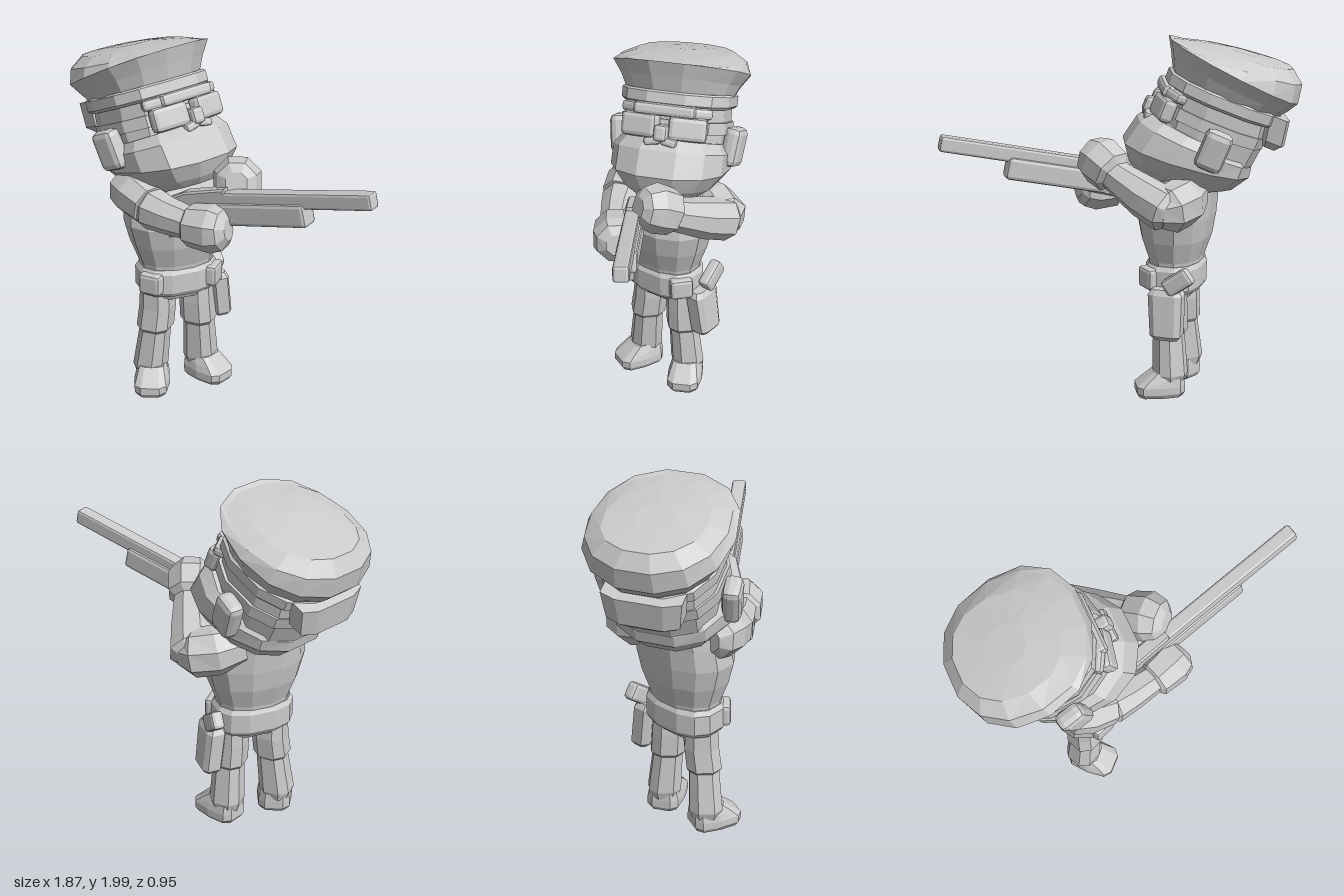
import * as THREE from 'three';
import { RoundedBoxGeometry } from 'three/addons/geometries/RoundedBoxGeometry.js';

const mat = new THREE.MeshStandardMaterial({ color: 0xcccccc, flatShading: true });
const V = (a) => new THREE.Vector3(...a);

function add(parent, name, geo, pos = [0, 0, 0], rot = [0, 0, 0]) {
  const m = new THREE.Mesh(geo, mat);
  m.name = name;
  m.position.set(...pos);
  m.rotation.set(...rot);
  parent.add(m);
  return m;
}

// Skins a list of rings (equal point counts) and closes both ends.
function skin(rings) {
  const n = rings[0].length, pos = [], idx = [];
  rings.forEach((r) => r.forEach((p) => pos.push(p.x, p.y, p.z)));
  for (let i = 0; i < rings.length - 1; i++) {
    for (let j = 0; j < n; j++) {
      const a = i * n + j, b = i * n + (j + 1) % n;
      idx.push(a, b, b + n, a, b + n, a + n);
    }
  }
  const end = (r, start, flip) => {
    const c = r.reduce((s, p) => s.add(p), new THREE.Vector3()).divideScalar(n);
    const k = pos.length / 3;
    pos.push(c.x, c.y, c.z);
    for (let j = 0; j < n; j++) {
      const a = start + j, b = start + (j + 1) % n;
      flip ? idx.push(k, b, a) : idx.push(k, a, b);
    }
  };
  end(rings[0], 0, true);
  end(rings[rings.length - 1], (rings.length - 1) * n, false);
  const g = new THREE.BufferGeometry();
  g.setAttribute('position', new THREE.Float32BufferAttribute(pos, 3));
  g.setIndex(idx);
  g.computeVertexNormals();
  return g;
}

// Upright form: rows of [y, cx, cz, rx, rz, slant]; lower e is squarer.
function column(rows, n = 12, e = 0.8) {
  const pw = (v) => Math.sign(v) * Math.abs(v) ** e;
  return skin(rows.map(([y, cx, cz, rx, rz, slant = 0]) => Array.from({ length: n }, (_, j) => {
    const t = (j + 0.5) / n * Math.PI * 2;
    const z = rz * pw(Math.cos(t));
    return new THREE.Vector3(cx + rx * pw(Math.sin(t)), y + slant * z, cz + z);
  })));
}

// Limb along a path: stations of [x, y, z, radius].
function limb(st, n = 8) {
  const c = st.map((s) => V(s.slice(0, 3)));
  return skin(c.map((p, i) => {
    const t = c[Math.min(i + 1, c.length - 1)].clone().sub(c[Math.max(i - 1, 0)]).normalize();
    const u = new THREE.Vector3(0, 1, 0).cross(t).normalize();
    const v = t.clone().cross(u);
    return Array.from({ length: n }, (_, j) => {
      const a = (j + 0.5) / n * Math.PI * 2;
      return p.clone().addScaledVector(u, Math.cos(a) * st[i][3]).addScaledVector(v, Math.sin(a) * st[i][3]);
    });
  }));
}

const block = (w, h, d, r = 0.02) => new RoundedBoxGeometry(w, h, d, 1, r);

function buildHead() {
  const g = new THREE.Group();
  g.name = 'head';
  g.position.set(-0.43, 1.45, -0.03);
  g.rotation.set(-0.385, 1.16, 0, 'YXZ');
  add(g, 'skull', column([[-0.12, 0, -0.02, 0.27, 0.27], [0.1, 0, -0.02, 0.285, 0.29], [0.25, 0, 0, 0.285, 0.29]]));
  add(g, 'beard', column([
    [-0.29, 0, 0.1, 0.17, 0.2], [-0.23, 0, 0.05, 0.25, 0.3, -0.08], [-0.14, 0, 0.05, 0.32, 0.36, -0.1],
    [-0.04, 0, 0.04, 0.32, 0.34, 0.02], [0.01, 0, 0.03, 0.28, 0.3, 0.06],
  ], 12, 0.85));
  add(g, 'backHair', column([[0.09, 0, -0.33, 0.15, 0.05], [0.13, 0, -0.33, 0.2, 0.08], [0.27, 0, -0.3, 0.22, 0.08]], 8, 0.6));
  // Cap with a band and a broad crown puffed up towards the back
  add(g, 'capBand', column([[0.2, 0, -0.01, 0.295, 0.31], [0.215, 0, -0.01, 0.31, 0.325], [0.27, 0, -0.01, 0.31, 0.325], [0.28, 0, -0.01, 0.3, 0.31]]));
  add(g, 'capCrown', column([
    [0.26, 0, -0.01, 0.295, 0.305, 0.04], [0.33, 0, -0.01, 0.33, 0.35, 0.08], [0.4, 0, -0.005, 0.38, 0.39, 0.09],
    [0.45, 0, -0.01, 0.35, 0.365, -0.06], [0.495, 0, -0.03, 0.26, 0.27, -0.13], [0.51, 0, -0.03, 0.1, 0.1, -0.1],
  ], 14, 0.9));
  // Face
  add(g, 'goggleStrap', column([[0.065, 0, -0.01, 0.3, 0.3], [0.13, 0, -0.01, 0.3, 0.3]]));
  add(g, 'brow', block(0.34, 0.065, 0.1), [0, 0.18, 0.28]);
  for (const s of [-1, 1]) {
    add(g, 'goggleLens', block(0.21, 0.13, 0.08, 0.025), [s * 0.13, 0.09, 0.285], [0, s * 0.22, 0]);
    add(g, 'browEnd', block(0.12, 0.06, 0.08), [s * 0.185, 0.178, 0.25], [0, s * 0.55, 0]);
    add(g, 'ear', block(0.1, 0.22, 0.15, 0.035), [s * 0.325, 0, -0.02], [0, s * -0.15, s * -0.12]);
    add(g, 'moustache', block(0.09, 0.045, 0.06, 0.015), [s * 0.045, 0.015, 0.33], [0, 0, s * -0.2]);
  }
  add(g, 'nose', block(0.075, 0.09, 0.1), [0, 0.06, 0.325]);
  return g;
}

function buildBody() {
  const g = new THREE.Group();
  g.name = 'body';
  g.position.set(-0.31, 0, 0.045);
  g.rotation.y = Math.PI / 4;
  add(g, 'torso', column([
    [0.7, 0, 0, 0.2, 0.14], [0.78, 0, 0, 0.21, 0.15], [0.9, 0, 0, 0.255, 0.19], [1.02, 0, 0, 0.285, 0.21],
    [1.14, 0, -0.02, 0.275, 0.2], [1.26, 0, -0.06, 0.24, 0.18], [1.34, 0, -0.09, 0.14, 0.13],
  ], 12, 0.9));
  add(g, 'hips', column([[0.56, 0, 0, 0.18, 0.1], [0.62, 0, 0, 0.205, 0.13], [0.68, 0, 0, 0.205, 0.13]]));
  add(g, 'belt', column([[0.6, 0, 0, 0.21, 0.145], [0.625, 0, 0, 0.227, 0.16], [0.735, 0, 0, 0.227, 0.16], [0.76, 0, 0, 0.21, 0.145]]));
  for (const s of [-1, 1]) {
    add(g, 'pouch', block(0.13, 0.12, 0.08), [s * 0.18, 0.685, 0.1], [0, s * 0.85, 0]);
  }
  // Sidearm on the left hip
  add(g, 'holster', column([[0.37, 0.265, -0.025, 0.04, 0.07], [0.395, 0.265, -0.025, 0.058, 0.09],
    [0.62, 0.24, -0.015, 0.058, 0.1], [0.65, 0.235, -0.015, 0.045, 0.08]], 8, 0.5));
  add(g, 'sidearmGrip', block(0.07, 0.17, 0.1), [0.26, 0.7, -0.085], [-0.95, 0, 0]);
  return g;
}

// Long gun, muzzle along local +z
function buildGun() {
  const g = new THREE.Group();
  g.name = 'longGun';
  g.position.set(0, 1.258, 0.258);
  g.lookAt(0.92, 1.46, 0.424);
  add(g, 'barrel', block(0.08, 0.085, 1.06, 0.014), [0, 0, 0.43]);
  add(g, 'foreEnd', block(0.11, 0.125, 0.58, 0.02), [0, -0.075, 0.29]);
  const outline = [[0.1, -0.13], [0.1, 0.05], [-0.15, 0.03], [-0.4, -0.05], [-0.43, -0.22], [-0.36, -0.235], [-0.1, -0.14]];
  const shape = new THREE.Shape(outline.map(([z, y]) => new THREE.Vector2(-z, y)));
  const stock = new THREE.ExtrudeGeometry(shape, { depth: 0.06, bevelSize: 0.01, bevelThickness: 0.01, bevelSegments: 1 });
  stock.translate(0, 0, -0.03);
  add(g, 'stock', stock, [0, 0, 0], [0, Math.PI / 2, 0]);
  return g;
}

export function createModel() {
  const model = new THREE.Group();
  model.name = 'figure';
  model.add(buildHead(), buildBody(), buildGun());

  // Legs: hip, knee and ankle as [x, z], plus foot centre and yaw
  const legs = [
    ['right', [-0.39, 0.125], [-0.4, 0.14], [-0.43, 0.15], [-0.4, 0.2], 0.35],
    ['left', [-0.22, -0.04], [-0.215, -0.045], [-0.215, -0.065], [-0.16, -0.045], 1.25],
  ];
  for (const [side, hip, knee, ankle, foot, yaw] of legs) {
    add(model, side + 'Thigh', column([[0.35, ...knee, 0.08, 0.08], [0.375, ...knee, 0.1, 0.1],
      [0.5, ...hip, 0.098, 0.098], [0.64, ...hip, 0.09, 0.09]], 8));
    add(model, side + 'Shin', column([[0.08, ...ankle, 0.08, 0.08], [0.13, ...ankle, 0.095, 0.095], [0.37, ...knee, 0.084, 0.084]], 8));
    add(model, side + 'Foot', column([[0, 0, 0, 0.085, 0.125], [0.025, 0, 0, 0.1, 0.14], [0.065, 0, 0, 0.1, 0.14],
      [0.105, 0, -0.015, 0.09, 0.12, -0.1], [0.145, 0, -0.04, 0.075, 0.08]], 10, 0.55), [foot[0], 0, foot[1]], [0, yaw, 0]);
  }

  // Arms
  add(model, 'rightUpperArm', limb([[-0.55, 1.21, 0.15, 0.07], [-0.52, 1.21, 0.18, 0.12], [-0.45, 1.2, 0.23, 0.13], [-0.34, 1.17, 0.285, 0.115]]));
  add(model, 'rightForearm', limb([[-0.37, 1.16, 0.275, 0.09], [-0.33, 1.155, 0.285, 0.115], [-0.22, 1.145, 0.32, 0.1], [-0.06, 1.135, 0.355, 0.085]]));
  add(model, 'rightHand', limb([[-0.11, 1.13, 0.345, 0.07], [-0.08, 1.13, 0.35, 0.115], [0.05, 1.135, 0.36, 0.13], [0.11, 1.14, 0.365, 0.11], [0.14, 1.145, 0.365, 0.06]]));
  add(model, 'leftUpperArm', limb([[-0.3, 1.17, -0.12, 0.11], [-0.2, 1.15, -0.21, 0.135], [-0.1, 1.13, -0.25, 0.13], [-0.04, 1.12, -0.24, 0.09]]));
  add(model, 'leftForearm', limb([[-0.12, 1.11, -0.29, 0.07], [-0.08, 1.13, -0.25, 0.12], [-0.02, 1.18, -0.12, 0.115], [0.05, 1.25, 0.02, 0.095], [0.08, 1.29, 0.1, 0.09]]));
  add(model, 'leftHand', limb([[0.06, 1.27, 0.04, 0.08], [0.07, 1.285, 0.07, 0.125], [0.105, 1.335, 0.16, 0.135], [0.125, 1.35, 0.22, 0.11], [0.135, 1.36, 0.25, 0.06]]));
  return model;
}
